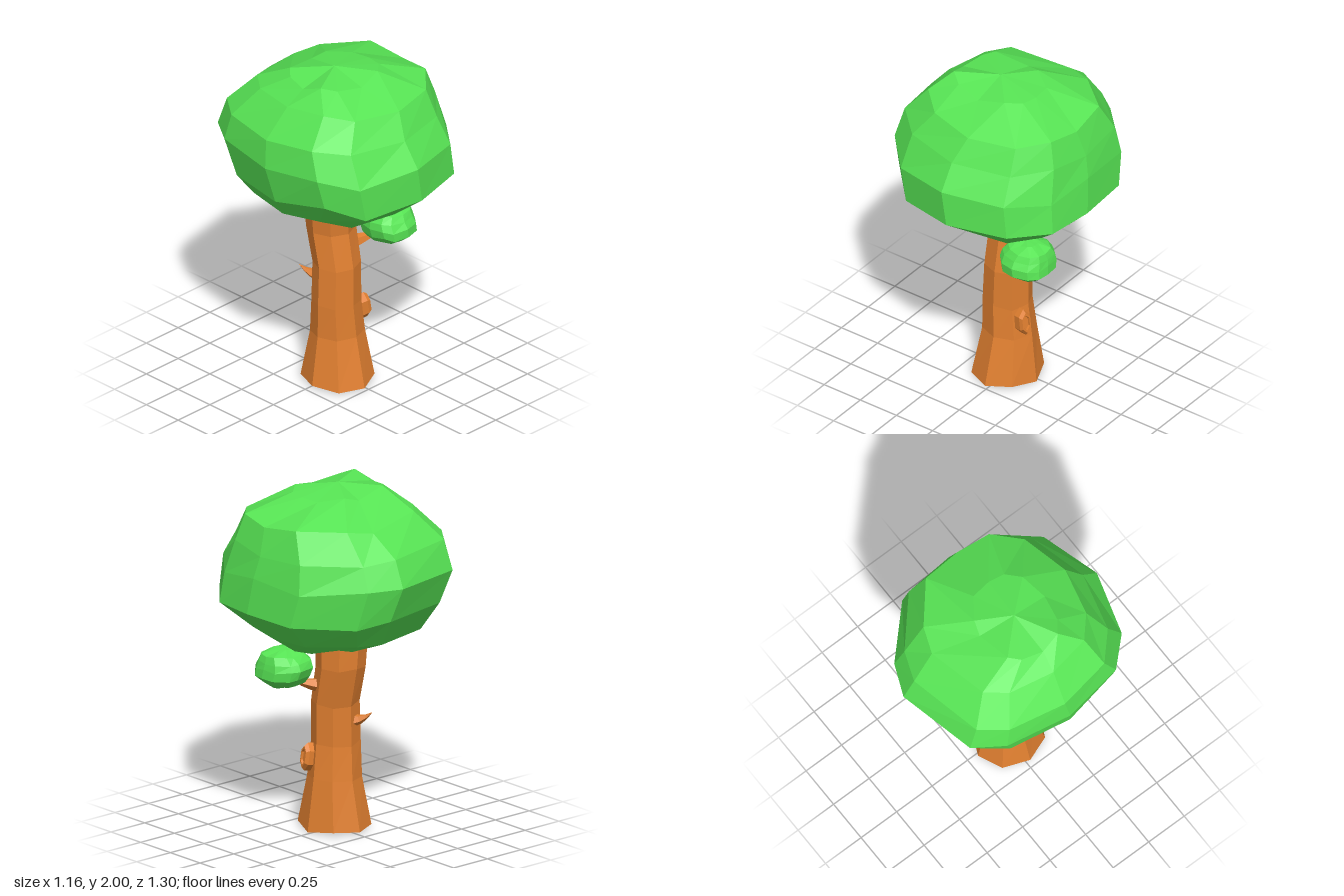
import * as THREE from 'three';

const leaf = new THREE.MeshStandardMaterial({ color: 0x57e454, flatShading: true });
const bark = new THREE.MeshStandardMaterial({ color: 0xe07f30, flatShading: true });

// Small seeded random in -1..1
function seeded(seed) {
  return () => {
    seed = (seed * 16807) % 2147483647;
    return (seed / 2147483647) * 2 - 1;
  };
}

// Closed loft of a unit outline [x, z, lift] through rings [y, xmin, xmax, zmin, zmax]
function loft(outline, rings, bottomY, topY, jitter, seed) {
  const rand = seeded(seed), n = outline.length, pos = [], idx = [];
  const centre = (r) => [(r[1] + r[2]) / 2, (r[3] + r[4]) / 2];
  for (const r of rings) {
    const [cx, cz] = centre(r);
    for (const [u, v, lift] of outline) {
      pos.push(cx + u * (r[2] - r[1]) / 2, r[0] + lift + rand() * jitter, cz + v * (r[4] - r[3]) / 2);
    }
  }
  const last = rings.length - 1;
  const [bx, bz] = centre(rings[0]), [tx, tz] = centre(rings[last]);
  pos.push(bx, bottomY, bz, tx, topY, tz);
  const bottom = n * rings.length, top = bottom + 1;
  for (let j = 0; j < n; j++) {
    const k = (j + 1) % n;
    for (let i = 0; i < last; i++) {
      const a = i * n, b = a + n;
      idx.push(a + j, b + j, a + k, a + k, b + j, b + k);
    }
    idx.push(bottom, j, k, top, last * n + k, last * n + j);
  }
  const geo = new THREE.BufferGeometry();
  geo.setAttribute('position', new THREE.Float32BufferAttribute(pos, 3));
  geo.setIndex(idx);
  geo.computeVertexNormals();
  return geo;
}

// Tapered spike from one point to another, curving upward towards the tip
function spike(name, from, to, radius, tipRadius, bend) {
  const a = new THREE.Vector3(...from), dir = new THREE.Vector3(...to).sub(a);
  const len = dir.length();
  const geo = new THREE.CylinderGeometry(tipRadius, radius, len, 5, 3);
  geo.translate(0, len / 2, 0);
  geo.applyQuaternion(new THREE.Quaternion().setFromUnitVectors(
    new THREE.Vector3(0, 1, 0), dir.clone().normalize()));
  const p = geo.attributes.position, v = new THREE.Vector3();
  for (let i = 0; i < p.count; i++) {
    const t = v.fromBufferAttribute(p, i).dot(dir) / (len * len);
    p.setY(i, v.y - bend * 4 * t * (1 - t));
  }
  geo.computeVertexNormals();
  const mesh = new THREE.Mesh(geo, bark);
  mesh.name = name;
  mesh.position.copy(a);
  return mesh;
}

export function createModel() {
  const tree = new THREE.Group();
  tree.name = 'tree';
  const add = (name, geo, mat) => {
    const mesh = new THREE.Mesh(geo, mat);
    mesh.name = name;
    tree.add(mesh);
    return mesh;
  };

  // Eight-sided trunk, flared at the foot and leaning back at the top
  const octagon = Array.from({ length: 8 }, (_, i) => [Math.cos(i * Math.PI / 4), Math.sin(i * Math.PI / 4), 0]);
  add('trunk', loft(octagon, [
    [0.015, -0.217, 0.182, -0.19, 0.235],
    [0.30, -0.167, 0.145, -0.135, 0.165],
    [0.50, -0.167, 0.122, -0.115, 0.152],
    [0.73, -0.157, 0.122, -0.115, 0.147],
    [0.95, -0.157, 0.125, -0.168, 0.108],
    [1.10, -0.172, 0.122, -0.172, 0.118],
    [1.16, -0.15, 0.10, -0.15, 0.10],
  ], 0.015, 1.16, 0.012, 7), bark);

  // Faceted crown with an uneven twelve-point outline, raised at one corner
  const outline = [
    [0.58, 0.05, 0], [0.54, 0.34, 0], [0.36, 0.55, 0], [0, 0.65, 0], [-0.36, 0.55, 0], [-0.53, 0.38, 0.05],
    [-0.58, 0.02, 0], [-0.51, -0.37, 0], [-0.39, -0.54, 0], [0.08, -0.65, 0], [0.27, -0.57, 0], [0.55, -0.3, 0],
  ].map(([x, z, lift]) => [x / 0.58, z / 0.65, lift]);
  const crown = loft(outline, [
    [1.09, -0.22, 0.25, -0.20, 0.27],
    [1.20, -0.45, 0.42, -0.45, 0.47],
    [1.34, -0.54, 0.58, -0.58, 0.65],
    [1.54, -0.585, 0.56, -0.65, 0.65],
    [1.70, -0.56, 0.53, -0.58, 0.55],
    [1.86, -0.42, 0.48, -0.43, 0.46],
    [1.965, -0.31, 0.20, -0.18, 0.25],
  ], 1.12, 2.0, 0.022, 41);
  add('crown', crown, leaf);

  // Side bush: a quarter-size copy of the crown
  const bush = add('sideBush', crown, leaf);
  bush.scale.setScalar(0.25);
  bush.position.set(0.236, 0.568, 0.163);

  // Branch holding the bush, and a thorn at the back
  tree.add(spike('branch', [0.06, 0.838, 0.04], [0.21, 0.88, 0.12], 0.048, 0.008, 0.008));
  tree.add(spike('thorn', [-0.07, 0.635, -0.08], [-0.127, 0.685, -0.17], 0.04, 0.001, 0.013));

  // Cut stub with a raised rim and sunken face, tilted slightly upward
  const profile = [[0.046, -0.05], [0.046, 0.025], [0.036, 0.045], [0.027, 0.045], [0.025, 0.032], [0, 0.032]]
    .map(([r, y]) => new THREE.Vector2(r, y));
  const stub = new THREE.LatheGeometry(profile, 6);
  stub.rotateY(Math.PI / 6);
  stub.scale(1.75, 1, 0.9);
  stub.rotateZ(0.15 - Math.PI / 2);
  stub.rotateY(-0.25);
  stub.translate(0.118, 0.42, 0.075);
  add('cutStub', stub, bark);
  return tree;
}
